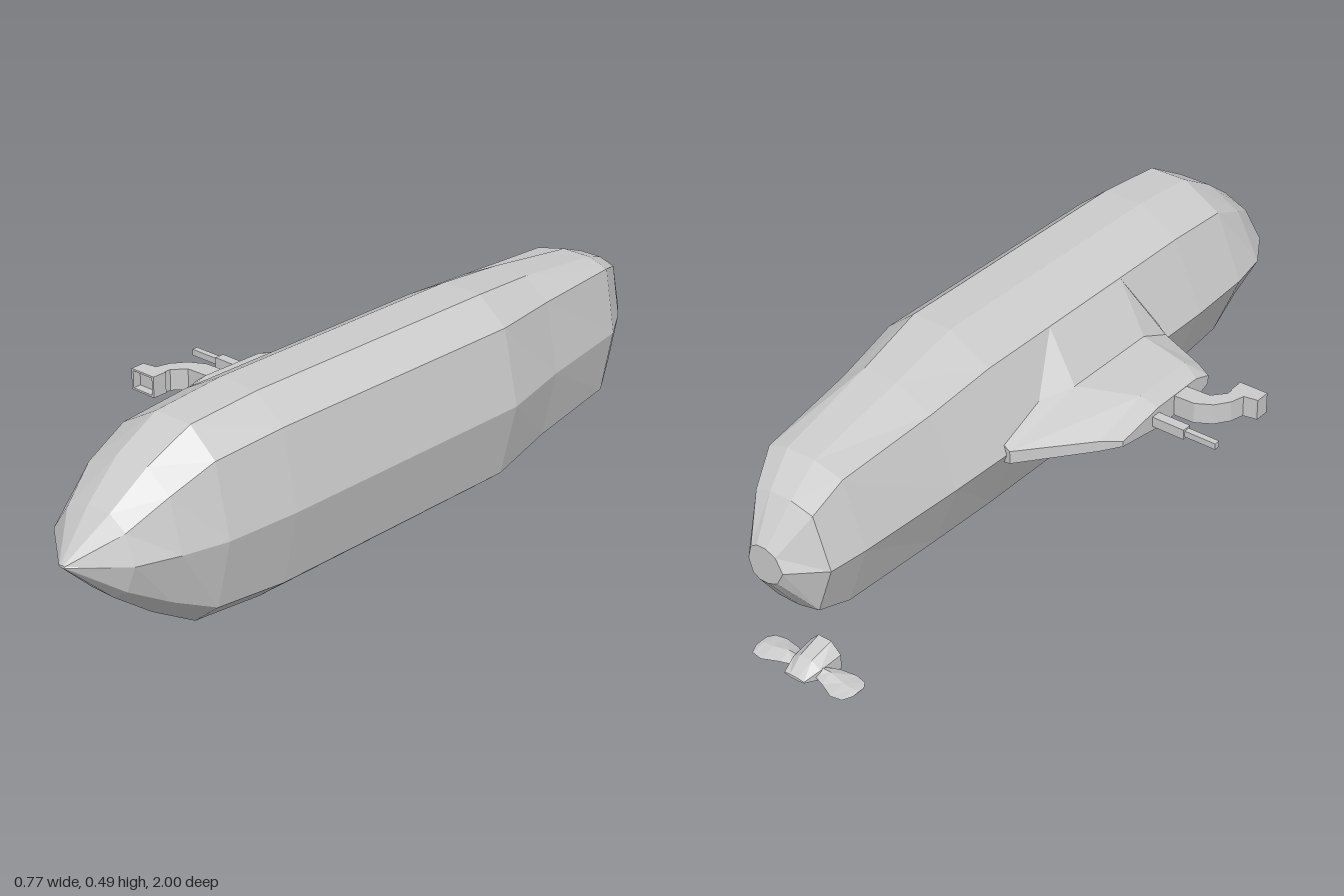
import * as THREE from 'three';

const CY = 0.248; // height of the hull axis

const grey = (side = THREE.FrontSide) =>
  new THREE.MeshStandardMaterial({ color: 0xcccccc, flatShading: true, side });

// Faceted skin through equal-length rings of [x, y, z]; corner order is fixed by signed volume
function loft(rings, { capStart = true, capEnd = true } = {}) {
  const tris = [];
  const n = rings[0].length;
  for (let i = 0; i < rings.length - 1; i++) {
    for (let j = 0; j < n; j++) {
      const k = (j + 1) % n;
      const [a, b, c, d] = [rings[i][j], rings[i][k], rings[i + 1][k], rings[i + 1][j]];
      tris.push([a, b, c], [a, c, d]);
    }
  }
  const last = rings[rings.length - 1];
  for (let j = 1; j < n - 1; j++) {
    if (capStart) tris.push([rings[0][0], rings[0][j + 1], rings[0][j]]);
    if (capEnd) tris.push([last[0], last[j], last[j + 1]]);
  }
  const o = new THREE.Vector3(...rings[0][0]);
  let volume = 0;
  for (const t of tris) {
    const [a, b, c] = t.map((p) => new THREE.Vector3(...p).sub(o));
    volume += a.dot(b.cross(c));
  }
  if (volume < 0) tris.forEach((t) => t.reverse());
  const g = new THREE.BufferGeometry();
  g.setAttribute('position', new THREE.Float32BufferAttribute(tris.flat(2), 3));
  g.computeVertexNormals();
  return g;
}

export function createModel() {
  const model = new THREE.Group();
  const add = (name, geometry, side) => {
    const m = new THREE.Mesh(geometry, grey(side));
    m.name = name;
    model.add(m);
    return m;
  };

  // Hull: ten-sided rings, each [z, xMin, xMax, halfHeight, shoulder]
  const hullRings = [
    [1.0, 0.19, 0.21, 0.003, 0.75],
    [0.9, 0.06, 0.31, 0.097, 0.7],
    [0.8, 0.0, 0.345, 0.17, 0.72],
    [0.69, -0.02, 0.372, 0.232, 0.74],
    [0.5, -0.03, 0.383, 0.247, 0.75],
    [-0.23, -0.033, 0.385, 0.247, 0.75],
    [-0.44, -0.028, 0.335, 0.222, 0.78],
    [-0.73, -0.015, 0.285, 0.18, 0.9],
    [-0.83, -0.005, 0.225, 0.14, 0.9],
    [-0.9, 0.07, 0.17, 0.046, 0.75],
  ].map(([z, x0, x1, h, s]) => {
    const c = (x0 + x1) / 2, r = (x1 - x0) / 2;
    return [
      [-1, 0], [-0.62, s], [-0.09, 1], [0.43, 1], [0.8, s],
      [1, 0], [0.8, -s], [0.43, -1], [-0.09, -1], [-0.62, -s],
    ].map(([u, v]) => [c + u * r, CY + v * h, z]);
  });
  add('hull', loft(hullRings));

  // Conning tower: flares from the hull shoulders to a narrow top facing -x
  const towerRings = [
    [0.046, 0.183, -0.25, 0.36],
    [-0.043, 0.067, -0.27, 0.335],
    [-0.178, 0.055, -0.11, 0.283],
    [-0.215, 0.028, -0.07, 0.27],
  ].map(([x, h, z0, z1]) =>
    [[0, 0.25], [0.4, 1], [0.85, 1], [1, 0.4], [1, -0.4], [0.85, -1], [0.4, -1], [0, -0.25]]
      .map(([t, v]) => [x, CY + v * h, z0 + t * (z1 - z0)]));
  add('conningTower', loft(towerRings));

  // Periscope: thick lower tube and thin upper tube
  add('periscopeBase', new THREE.BoxGeometry(0.09, 0.026, 0.026)).position.set(-0.258, CY, 0.057);
  add('periscopeTube', new THREE.BoxGeometry(0.09, 0.016, 0.016)).position.set(-0.343, CY, 0.057);

  // Snorkel: bent square pipe, drawn in x and z and given depth along y
  const pipe = new THREE.Shape([
    [-0.2, 0.13], [-0.27, 0.132], [-0.31, 0.155], [-0.335, 0.19], [-0.345, 0.226],
    [-0.375, 0.232], [-0.375, 0.25], [-0.308, 0.25], [-0.308, 0.215], [-0.28, 0.183], [-0.2, 0.18],
  ].map(([x, z]) => new THREE.Vector2(x, -z)));
  const pipeGeometry = new THREE.ExtrudeGeometry(pipe, { depth: 0.054, bevelEnabled: false });
  pipeGeometry.rotateX(-Math.PI / 2);
  add('snorkelPipe', pipeGeometry).position.y = CY - 0.027;

  // Snorkel mouth: square frame around a recess
  const square = (w, h) => [[-w, -h], [w, -h], [w, h], [-w, h]].map((p) => new THREE.Vector2(...p));
  const frame = new THREE.Shape(square(0.038, 0.027));
  frame.holes.push(new THREE.Path(square(0.032, 0.022)));
  add('snorkelMouth', new THREE.ExtrudeGeometry(frame, { depth: 0.04, bevelEnabled: false }))
    .position.set(-0.343, CY, 0.232);

  // Propeller: hollow octagonal hub closing to a flat wedge, and two tapered blades
  const propeller = new THREE.Group();
  propeller.name = 'propeller';
  propeller.position.set(-0.042, 0.088, 0);
  model.add(propeller);

  const hubRings = [
    [-0.9, 0.047, 0.047], [-0.96, 0.042, 0.031], [-1.0, 0.03, 0.004],
  ].map(([z, rx, ry]) => Array.from({ length: 8 }, (_, i) => {
    const a = ((i + 0.5) / 8) * Math.PI * 2;
    return [Math.cos(a) * rx, Math.sin(a) * ry, z];
  }));
  const hub = new THREE.Mesh(loft(hubRings, { capStart: false }), grey(THREE.DoubleSide));
  hub.name = 'propellerHub';
  propeller.add(hub);

  for (const s of [-1, 1]) {
    const bladeRings = [
      [0.03, 0.015, -0.97, -0.935],
      [0.06, 0.012, -0.98, -0.92],
      [0.1, 0.007, -0.998, -0.914],
      [0.128, 0.004, -0.993, -0.92],
      [0.139, 0.001, -0.97, -0.935],
    ].map(([x, t, z0, z1]) => {
      const m = (z0 + z1) / 2;
      return [[s * x, 0, z0], [s * x, t, m], [s * x, 0, z1], [s * x, -t, m]];
    });
    const blade = new THREE.Mesh(loft(bladeRings), grey());
    blade.name = s < 0 ? 'rightBlade' : 'leftBlade';
    propeller.add(blade);
  }

  return model;
}
